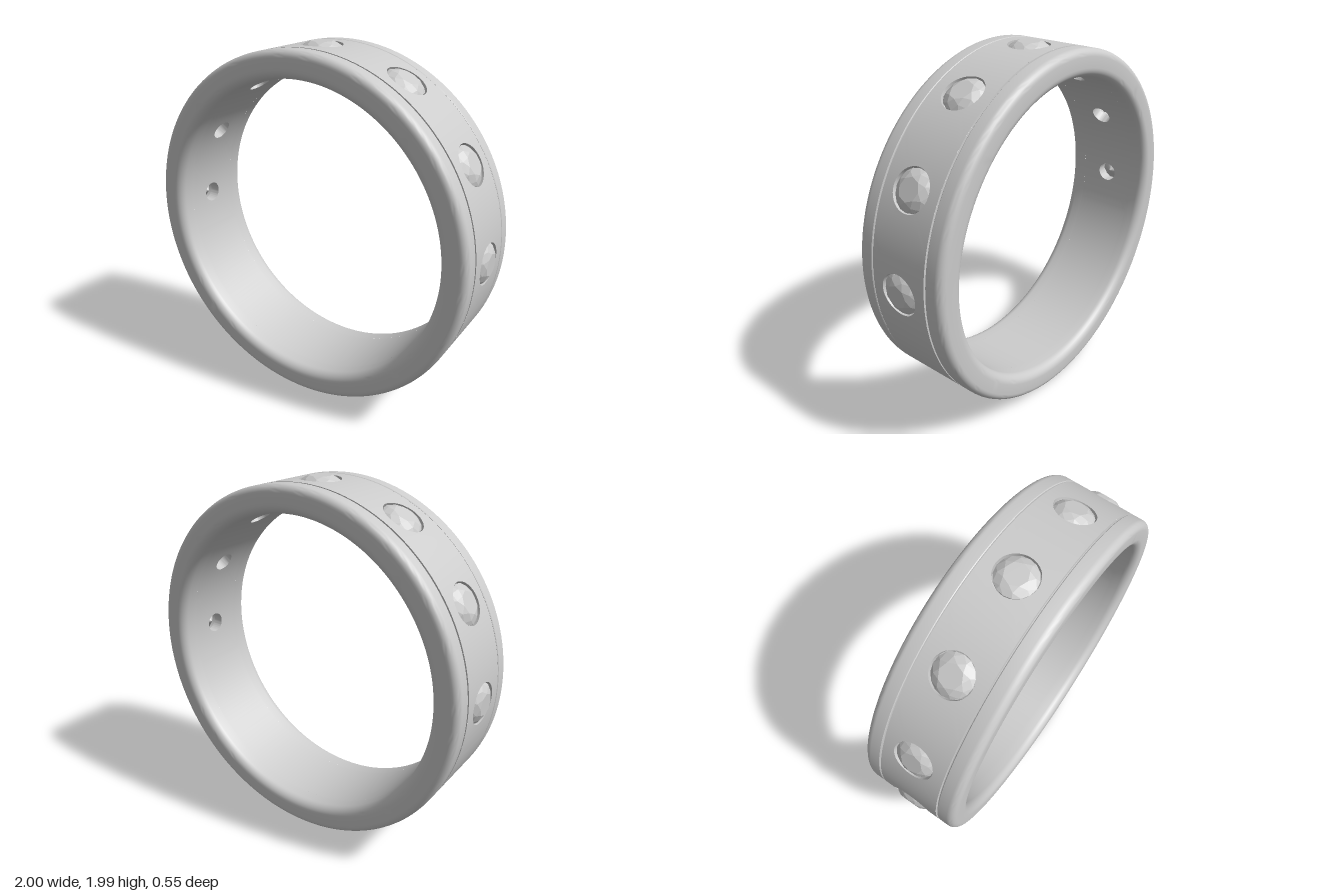
import * as THREE from 'three';
import { mergeGeometries, toCreasedNormals } from 'three/addons/utils/BufferGeometryUtils.js';
import { ConvexGeometry } from 'three/addons/geometries/ConvexGeometry.js';

const R_OUT = 0.985, R_IN = 0.838;   // band radii
const HALF = 0.17;                   // half width of the central band
const SECTOR = Math.PI / 12;         // half angle of one stone sector
const HOLE = 0.11, BORE = 0.058;     // seat and bore radii

const mat = new THREE.MeshStandardMaterial({ color: 0xcccccc });
const gemMat = new THREE.MeshStandardMaterial({ color: 0xcccccc, flatShading: true });

// Revolve a (radius, z) profile about the z axis
function revolve(points, segments, start = 0, length = Math.PI * 2) {
  const g = new THREE.LatheGeometry(points.map(p => new THREE.Vector2(...p)), segments, start, length);
  return g.rotateX(Math.PI / 2);
}

// Quarter-round corner for a profile
function fillet(cx, cy, r, from, steps = 7) {
  return Array.from({ length: steps + 1 }, (_, i) => {
    const a = from + (i / steps) * Math.PI / 2;
    return [cx + r * Math.cos(a), cy + r * Math.sin(a)];
  });
}

// One 30 degree band sector (radial axis +y) with a stepped hole drilled through it
function drilledSector() {
  const n = 16, w = SECTOR * R_OUT, rim = [];
  const corners = [[w, -HALF], [w, HALF], [-w, HALF], [-w, -HALF]];
  corners.forEach(([x, z], k) => {
    const [x2, z2] = corners[(k + 1) % 4];
    for (let i = 0; i < n; i++) rim.push([x + (x2 - x) * i / n, z + (z2 - z) * i / n]);
  });
  const steps = 6, rows = [];
  for (let i = 0; i <= steps; i++) rows.push({ R: R_OUT, r: HOLE, s: i / steps });
  rows.push({ h: 0.945, r: HOLE }, { h: 0.9, r: BORE });
  for (let i = steps; i >= 0; i--) rows.push({ R: R_IN, r: BORE, s: i / steps });

  const pos = [], index = [], m = rim.length;
  rows.forEach(({ R, r, s, h }, k) => rim.forEach(([u, z], i) => {
    const t = Math.atan2(z, u), cx = r * Math.cos(t), cz = r * Math.sin(t);
    if (h) pos.push(cx, h, cz);
    else {
      const angle = THREE.MathUtils.lerp(u / R_OUT, Math.asin(cx / R), s);
      pos.push(R * Math.sin(angle), R * Math.cos(angle), THREE.MathUtils.lerp(z, cz, s));
    }
    if (k < rows.length - 1) {
      const a = k * m + i, b = k * m + (i + 1) % m;
      index.push(a, a + m, b, b, a + m, b + m);
    }
  }));
  const g = new THREE.BufferGeometry();
  g.setAttribute('position', new THREE.Float32BufferAttribute(pos, 3));
  g.setIndex(index);
  return g;
}

// Round brilliant stone: table, crown, girdle and pavilion
function gemGeometry() {
  const pts = [new THREE.Vector3(0, 0.868, 0)];
  const ring = (r, y, n, offset = 0) => {
    for (let i = 0; i < n; i++) {
      const a = (i + offset) / n * Math.PI * 2;
      pts.push(new THREE.Vector3(r * Math.cos(a), y, r * Math.sin(a)));
    }
  };
  ring(0.06, 1.0, 8);
  ring(0.086, 0.988, 8, 0.5);
  ring(0.105, 0.972, 16);
  ring(0.105, 0.965, 16);
  return new ConvexGeometry(pts);
}

export function createModel() {
  const model = new THREE.Group();
  model.name = 'ring';
  const body = new THREE.Group();
  body.name = 'ringBody';
  body.position.y = R_OUT;
  model.add(body);

  const add = (geometry, material, name) => {
    const mesh = new THREE.Mesh(geometry, material);
    mesh.name = name;
    body.add(mesh);
    return mesh;
  };

  // Seven stones over the upper half, one every 30 degrees
  const turns = Array.from({ length: 7 }, (_, i) => (i - 3) * Math.PI / 6);

  // Central band: drilled sectors above, plain arc below
  const bare = g => {
    const c = g.toNonIndexed();
    c.deleteAttribute('uv');
    c.deleteAttribute('normal');
    return c;
  };
  const arc = Math.PI * 5 / 6;
  const parts = turns.map(t => bare(drilledSector().rotateZ(t)));
  parts.push(bare(revolve([[R_OUT, -HALF], [R_OUT, HALF]], 80, -arc / 2, arc)));
  parts.push(bare(revolve([[R_IN, HALF], [R_IN, -HALF]], 80, -arc / 2, arc)));
  add(toCreasedNormals(mergeGeometries(parts), 0.5), mat, 'centralBand');

  // Rounded side rims, each parted from the band by a fine groove
  const edge = 0.275, ro = 0.04, ri = 0.05;
  const profile = [
    [R_OUT, HALF], [0.97, HALF + 0.001], [0.97, HALF + 0.008], [R_OUT - 0.003, HALF + 0.008], [R_OUT, HALF + 0.012],
    ...fillet(R_OUT - ro, edge - ro, ro, 0),
    ...fillet(R_IN + ri, edge - ri, ri, Math.PI / 2),
    [R_IN, HALF],
  ];
  const rimGeometry = toCreasedNormals(revolve(profile, 160), 0.5);
  add(rimGeometry, mat, 'frontRim');
  add(rimGeometry, mat, 'backRim').rotation.y = Math.PI;

  // Stones
  const gem = gemGeometry();
  turns.forEach((t, i) => {
    add(gem, gemMat, `stone${i + 1}`).rotation.z = t;
  });

  return model;
}
